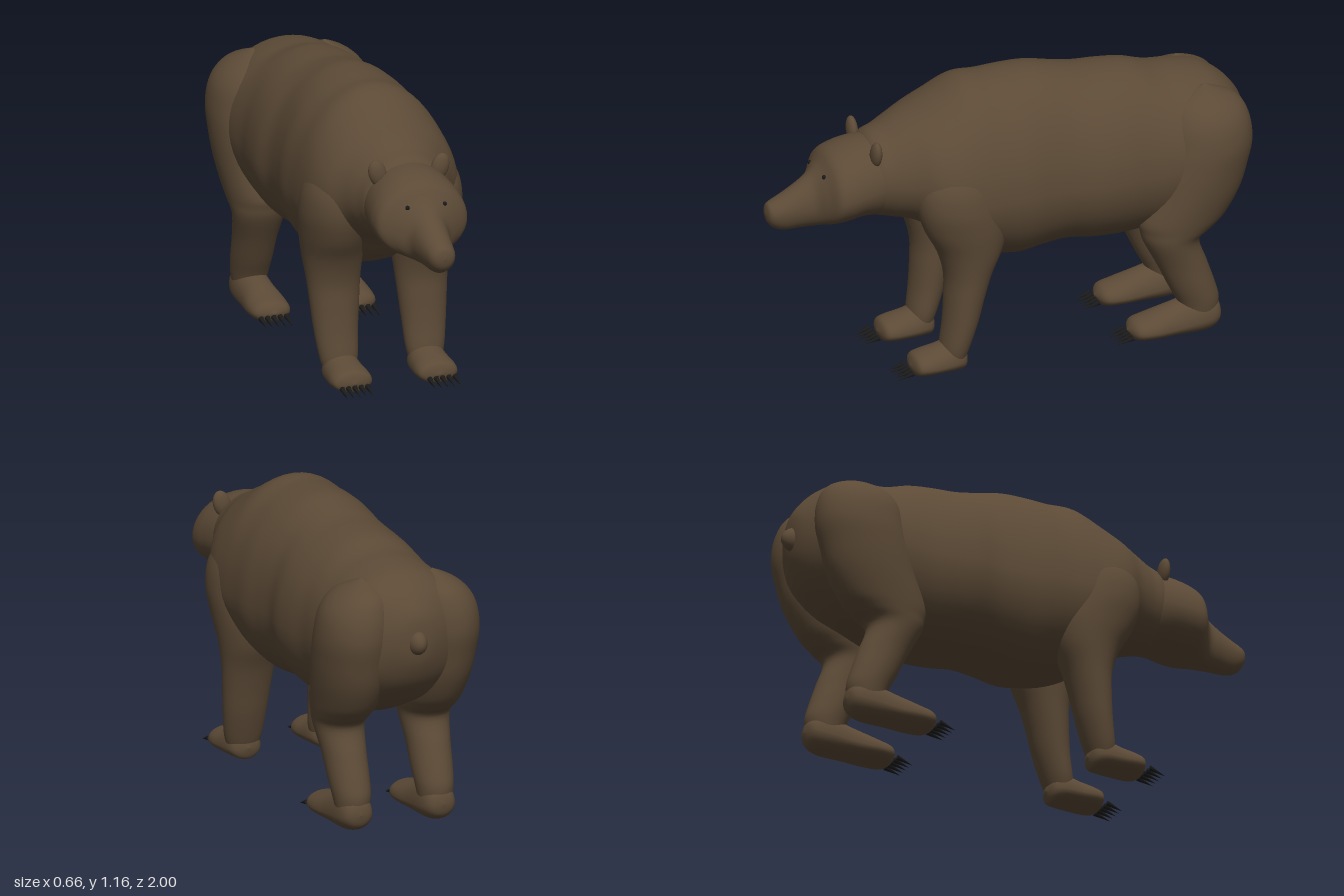
import * as THREE from 'three';

const fur = new THREE.MeshStandardMaterial({ color: 0x5c4a36 });
fur.name = 'brown fur';
const dark = new THREE.MeshStandardMaterial({ color: 0x1a1a1a });
dark.name = 'black claw';

// Smooth skin through cross-sections; point(ring, cos, sin) places one vertex
function loft(rings, point, steps = 5, sides = 40) {
  const cr = (a, b, c, d, t) => 0.5 * (2 * b + (c - a) * t + (2 * a - 5 * b + 4 * c - d) * t * t + (3 * b - a - 3 * c + d) * t * t * t);
  const pos = [], idx = [], last = rings.length - 1, rows = last * steps;
  for (let i = 0; i <= rows; i++) {
    const k = Math.min(Math.floor(i / steps), last - 1), t = i / steps - k;
    const [a, b, c, d] = [k - 1, k, k + 1, k + 2].map(n => rings[Math.max(0, Math.min(last, n))]);
    const ring = b.map((v, n) => cr(a[n], v, c[n], d[n], t));
    for (let j = 0; j < sides; j++) {
      const ang = j / sides * Math.PI * 2;
      pos.push(...point(ring, Math.cos(ang), Math.sin(ang)));
      if (i === rows) continue;
      const p = i * sides + j, q = i * sides + (j + 1) % sides;
      idx.push(p, q, q + sides, p, q + sides, p + sides);
    }
  }
  const geo = new THREE.BufferGeometry();
  geo.setAttribute('position', new THREE.Float32BufferAttribute(pos, 3));
  geo.setIndex(idx);
  geo.computeVertexNormals();
  return geo;
}

// Rings along z: [z, top, bottom, halfWidth, widestHeight]
const along = ([z, top, bot, w, mid], c, s) => [w * c, mid + s * (s > 0 ? top - mid : mid - bot), z];
// Rings going down: [y, centreX, radiusX, centreZ, radiusZ]
const down = ([y, cx, rx, cz, rz], c, s) => [cx + rx * c, y, cz + rz * s];

function add(parent, name, geo, mat = fur) {
  const mesh = new THREE.Mesh(geo, mat);
  mesh.name = name;
  parent.add(mesh);
  return mesh;
}

const torsoRings = [
  [-0.965, 0.80, 0.80, 0, 0.80], [-0.955, 0.89, 0.71, 0.07, 0.80], [-0.92, 0.95, 0.63, 0.15, 0.79],
  [-0.87, 1.00, 0.57, 0.23, 0.78], [-0.8, 1.04, 0.51, 0.28, 0.76], [-0.7, 1.06, 0.46, 0.295, 0.74],
  [-0.6, 1.07, 0.42, 0.295, 0.73], [-0.5, 1.10, 0.41, 0.292, 0.72], [-0.4, 1.11, 0.405, 0.302, 0.72],
  [-0.3, 1.115, 0.41, 0.305, 0.72], [-0.2, 1.135, 0.42, 0.29, 0.72], [-0.1, 1.155, 0.41, 0.295, 0.72],
  [0, 1.155, 0.395, 0.308, 0.72], [0.1, 1.15, 0.41, 0.308, 0.72], [0.2, 1.15, 0.44, 0.31, 0.72],
  [0.3, 1.10, 0.50, 0.305, 0.74], [0.38, 1.06, 0.58, 0.275, 0.78], [0.45, 1.03, 0.61, 0.225, 0.80],
  [0.52, 0.995, 0.625, 0.19, 0.80], [0.6, 0.95, 0.66, 0.15, 0.80], [0.64, 0.8, 0.8, 0, 0.80],
];
const headRings = [
  [0.42, 0.95, 0.66, 0.12, 0.80], [0.5, 0.96, 0.64, 0.16, 0.80], [0.57, 0.96, 0.64, 0.175, 0.79],
  [0.64, 0.955, 0.645, 0.185, 0.78], [0.7, 0.94, 0.635, 0.19, 0.77], [0.75, 0.915, 0.63, 0.18, 0.76],
  [0.785, 0.87, 0.625, 0.13, 0.74], [0.82, 0.835, 0.62, 0.085, 0.72], [0.87, 0.80, 0.62, 0.07, 0.71],
  [0.93, 0.765, 0.62, 0.06, 0.70], [0.97, 0.745, 0.635, 0.052, 0.695], [0.992, 0.73, 0.66, 0.035, 0.695],
  [1.0, 0.695, 0.695, 0, 0.695],
];
const frontLegRings = [
  [0.98, 0.17, 0, 0.25, 0], [0.9, 0.175, 0.075, 0.26, 0.12], [0.8, 0.187, 0.12, 0.275, 0.16],
  [0.7, 0.193, 0.13, 0.27, 0.17], [0.6, 0.19, 0.125, 0.245, 0.165], [0.5, 0.182, 0.118, 0.225, 0.13],
  [0.4, 0.18, 0.106, 0.232, 0.094], [0.3, 0.18, 0.097, 0.247, 0.078], [0.2, 0.18, 0.088, 0.263, 0.068],
  [0.1, 0.177, 0.077, 0.285, 0.058], [0.04, 0.176, 0.06, 0.295, 0.045],
];
const hindLegRings = [
  [1.02, 0.15, 0, -0.76, 0], [0.97, 0.16, 0.09, -0.76, 0.12], [0.9, 0.175, 0.135, -0.76, 0.165],
  [0.8, 0.185, 0.146, -0.755, 0.182], [0.7, 0.185, 0.143, -0.73, 0.187], [0.6, 0.182, 0.135, -0.7, 0.187],
  [0.5, 0.18, 0.12, -0.655, 0.175], [0.45, 0.18, 0.11, -0.63, 0.145], [0.4, 0.18, 0.1, -0.61, 0.11],
  [0.3, 0.178, 0.086, -0.653, 0.1], [0.2, 0.176, 0.08, -0.695, 0.093], [0.13, 0.175, 0.073, -0.722, 0.083],
  [0.05, 0.175, 0.06, -0.73, 0.06],
];
const frontFootRings = [
  [0.235, 0.05, 0.05, 0, 0.05], [0.25, 0.1, 0.005, 0.05, 0.045], [0.29, 0.13, 0, 0.072, 0.045],
  [0.36, 0.11, 0, 0.08, 0.04], [0.42, 0.095, 0, 0.083, 0.04], [0.455, 0.08, 0.005, 0.067, 0.04],
  [0.47, 0.04, 0.04, 0, 0.04],
];
const hindFootRings = [
  [-0.812, 0.075, 0.075, 0, 0.075], [-0.797, 0.125, 0.025, 0.05, 0.07], [-0.74, 0.16, 0, 0.072, 0.06],
  [-0.62, 0.13, 0, 0.076, 0.045], [-0.52, 0.1, 0, 0.083, 0.04], [-0.455, 0.08, 0.005, 0.067, 0.04],
  [-0.43, 0.042, 0.042, 0, 0.042],
];

// Leg with foot and five claws; the right side is turned over in the ring rule
function leg(name, side, legRings, footRings, toeZ) {
  const g = new THREE.Group();
  g.name = name;
  add(g, 'limb', loft(legRings.map(r => [r[0], side * r[1], ...r.slice(2)]), down));
  add(g, 'foot', loft(footRings, along)).position.x = side * 0.175;
  for (let i = -2; i <= 2; i++) {
    const claw = add(g, 'claw', new THREE.ConeGeometry(0.011, 0.07, 8), dark);
    claw.position.set(side * 0.18 + i * 0.026, 0.02, toeZ + 0.04);
    claw.rotation.x = Math.PI / 2 + 0.3;
  }
  return g;
}

export function createModel() {
  const bear = new THREE.Group();
  bear.name = 'bear';
  add(bear, 'torso', loft(torsoRings, along, 5, 56));
  add(bear, 'head', loft(headRings, along, 6, 48));

  const tail = add(bear, 'tail', new THREE.SphereGeometry(1, 20, 14));
  tail.scale.set(0.04, 0.05, 0.06);
  tail.position.set(0, 0.79, -0.94);

  for (const side of [-1, 1]) {
    const word = side > 0 ? 'left' : 'right';
    bear.add(leg(word + 'FrontLeg', side, frontLegRings, frontFootRings, 0.47));
    bear.add(leg(word + 'HindLeg', side, hindLegRings, hindFootRings, -0.44));

    const ear = add(bear, word + 'Ear', new THREE.SphereGeometry(1, 20, 14));
    ear.scale.set(0.036, 0.055, 0.022);
    ear.position.set(side * 0.128, 0.93, 0.59);
    ear.rotation.z = -side * 0.3;

    const eye = add(bear, word + 'Eye', new THREE.SphereGeometry(0.009, 12, 8), dark);
    eye.position.set(side * 0.076, 0.845, 0.784);
  }
  return bear;
}
